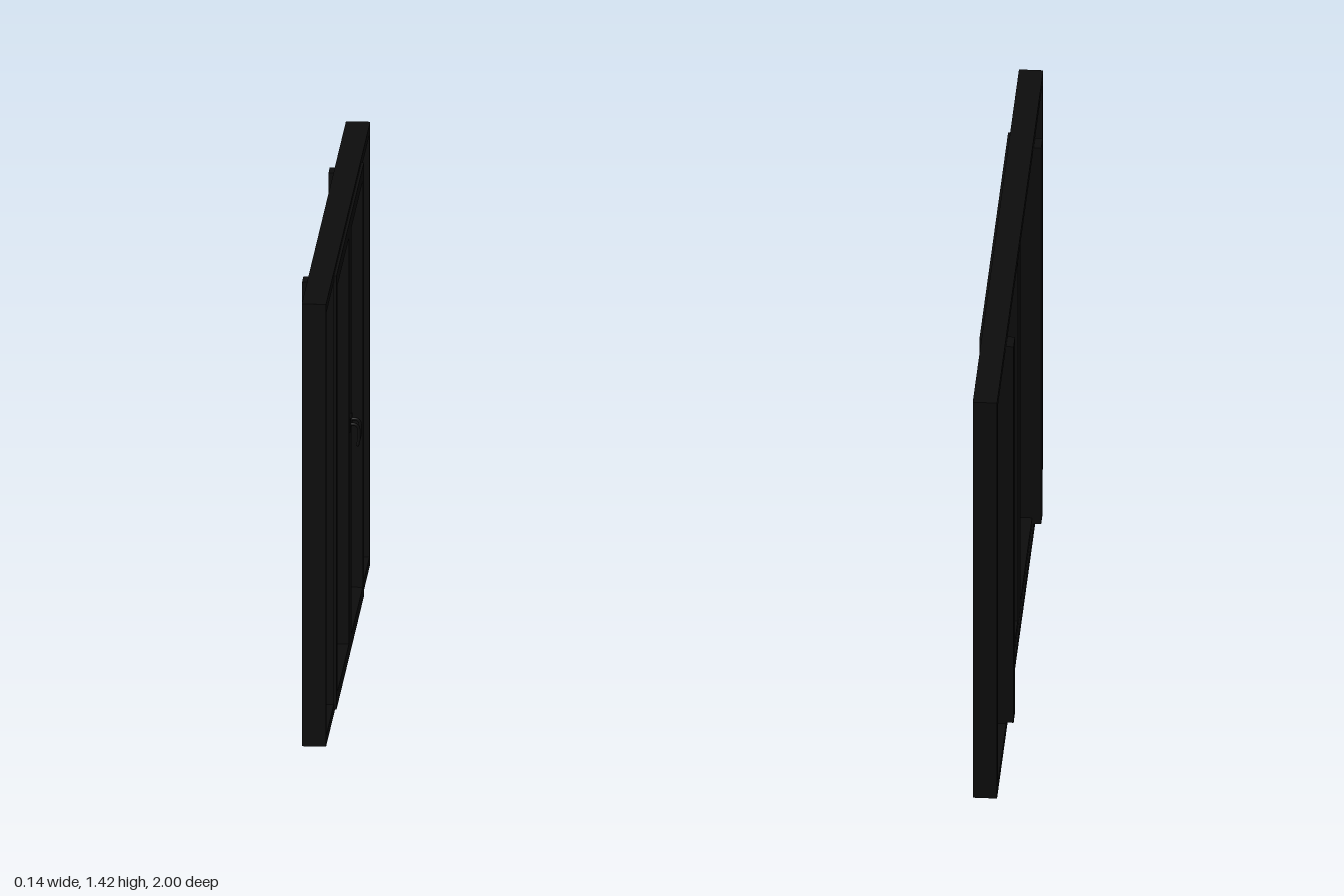
import * as THREE from 'three';

const black = new THREE.MeshStandardMaterial({ color: 0x0d0d0d });
const C = 0.022; // z of the line where the two sashes meet

function mesh(name, geometry, x = 0, y = 0, z = 0) {
  const m = new THREE.Mesh(geometry, black);
  m.name = name;
  m.position.set(x, y, z);
  return m;
}

// Box given by its limits on each axis
function bar(name, x0, x1, y0, y1, z0, z1) {
  return mesh(name, new THREE.BoxGeometry(x1 - x0, y1 - y0, z1 - z0),
    (x0 + x1) / 2, (y0 + y1) / 2, (z0 + z1) / 2);
}

// Rectangular ring in the y-z plane, with stile width sw and rail height rh
function ring(name, x0, x1, y0, y1, z0, z1, sw, rh) {
  const shape = new THREE.Shape([[-z1, y0], [-z0, y0], [-z0, y1], [-z1, y1]]
    .map(p => new THREE.Vector2(...p)));
  const hole = [[-z1 + sw, y0 + rh], [-z1 + sw, y1 - rh], [-z0 - sw, y1 - rh], [-z0 - sw, y0 + rh]];
  shape.holes.push(new THREE.Path(hole.map(p => new THREE.Vector2(...p))));
  const g = new THREE.ExtrudeGeometry(shape, { depth: x1 - x0, bevelEnabled: false });
  g.rotateY(Math.PI / 2);
  return mesh(name, g, x0);
}

// Lever handle: backplate, neck bending down into the grip
function handle(z) {
  const group = new THREE.Group();
  group.name = 'handle';
  group.add(bar('handlePlate', 0.034, 0.04, 0.733, 0.776, z - 0.008, z + 0.008));
  const path = new THREE.CatmullRomCurve3([
    [0.036, 0.757], [0.053, 0.757], [0.062, 0.75], [0.065, 0.735], [0.065, 0.712], [0.061, 0.692],
  ].map(([x, y]) => new THREE.Vector3(x, y, z)));
  group.add(mesh('handleLever', new THREE.TubeGeometry(path, 24, 0.005, 10)));
  for (const t of [0, 1]) {
    const p = path.getPoint(t);
    group.add(mesh('handleEnd', new THREE.SphereGeometry(0.005, 10, 8), p.x, p.y, p.z));
  }
  return group;
}

export function createModel() {
  const model = new THREE.Group();
  model.name = 'window';

  // Fixed outer frame
  model.add(ring('outerFrame', -0.047, 0.028, 0, 1.42, -1, 1, 0.032, 0.032));

  for (const s of [-1, 1]) {
    const span = (a, b) => [C + s * a, C + s * b].sort((p, q) => p - q);

    // Mullion between side light and sash, with a proud cover on the back
    model.add(bar('mullion', -0.046, 0.027, 0.02, 1.4, ...span(0.568, 0.626)));
    model.add(bar('mullionCover', -0.07, -0.04, 0.037, 1.387, ...span(0.567, 0.627)));

    // Opening sash, lapping over the frame
    model.add(ring('sash', -0.042, 0.036, 0.015, 1.407, ...span(0, 0.62), 0.054, 0.044));

    model.add(handle(C + s * 0.03));
  }
  return model;
}
